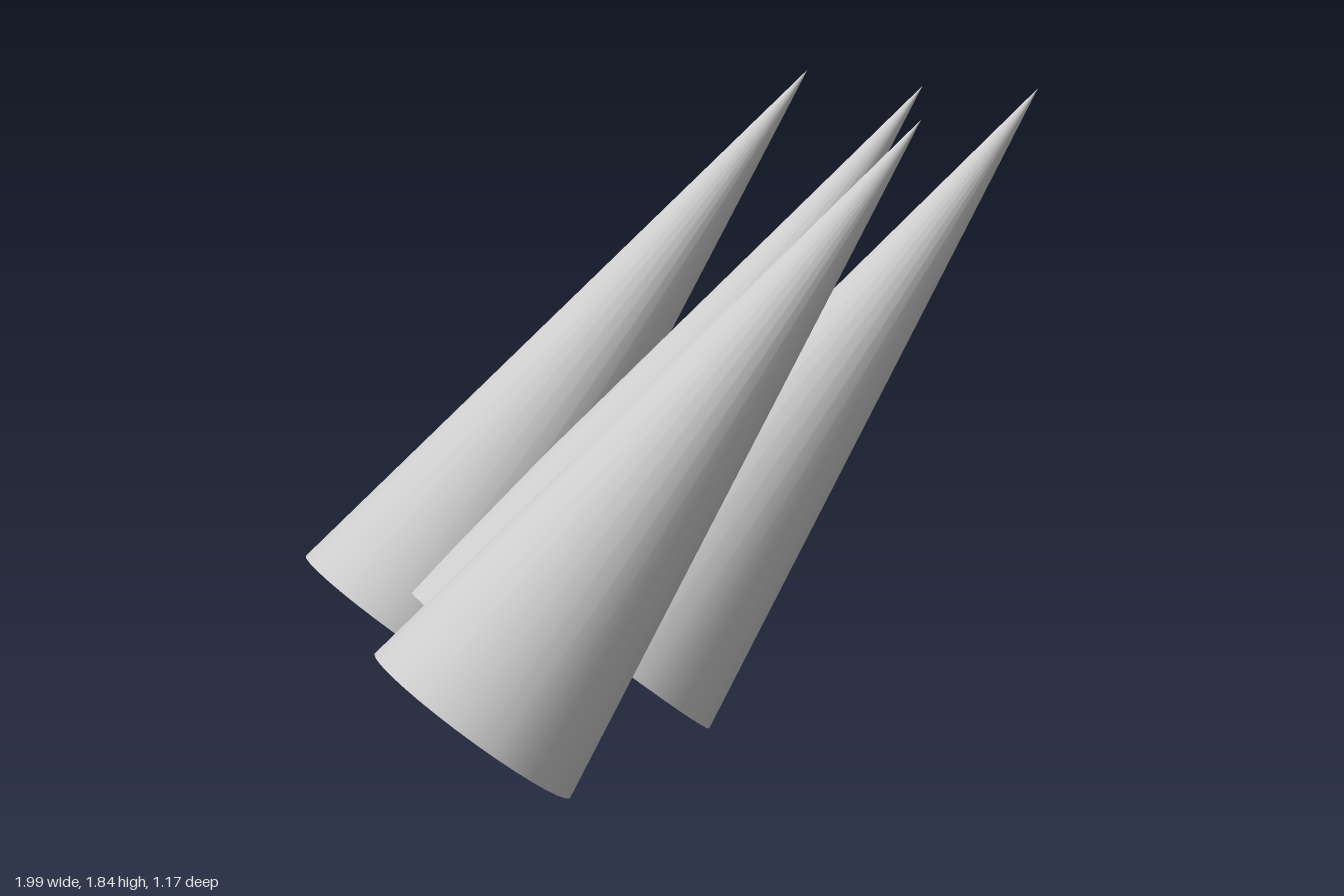
import * as THREE from 'three';

const RADIUS = 0.297;
const REACH = 1.32; // run and rise of each spike along its 45 degree lean
const HEIGHT = REACH * Math.SQRT2;

export function createModel() {
  const group = new THREE.Group();
  group.name = 'spikeCluster';
  const material = new THREE.MeshStandardMaterial({ color: 0xcccccc });

  // One capped cone, moved so its tip is the origin and leaned towards +x
  const spike = new THREE.ConeGeometry(RADIUS, HEIGHT, 32);
  spike.translate(0, -HEIGHT / 2, 0);
  spike.rotateZ(-Math.PI / 4);

  // Tip position of each parallel spike
  const tips = {
    frontUpperSpike: [0.53, 1.84, 0.285],
    backUpperSpike: [0.6, 1.84, -0.29],
    middleSpike: [0.75, 1.84, 0.02],
    frontOuterSpike: [0.99, 1.84, 0.205],
    lowerSpike: [0.75, 1.53, -0.135],
  };
  for (const [name, tip] of Object.entries(tips)) {
    const mesh = new THREE.Mesh(spike, material);
    mesh.name = name;
    mesh.position.set(...tip);
    group.add(mesh);
  }
  return group;
}
